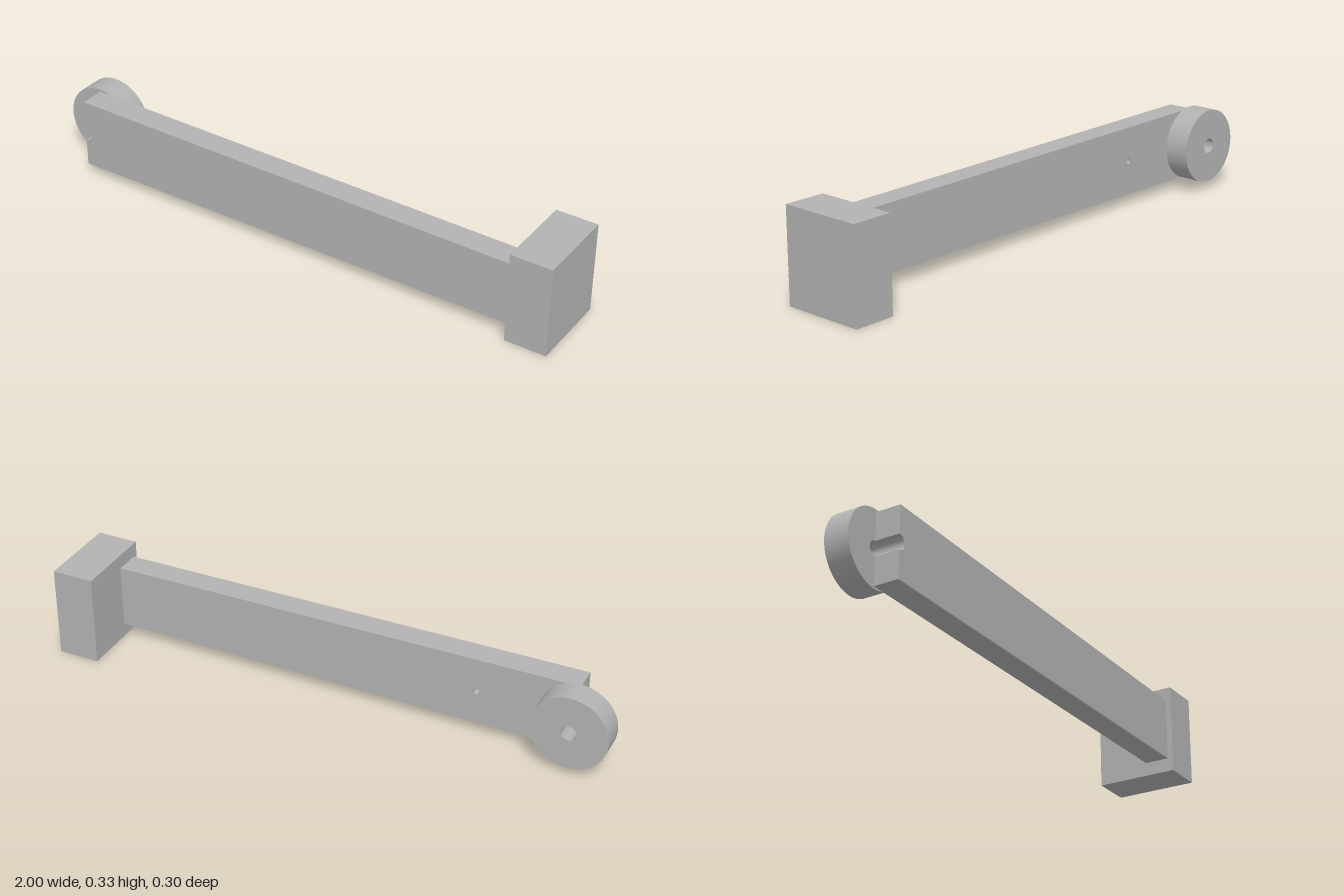
import * as THREE from 'three';
import { toCreasedNormals } from 'three/addons/utils/BufferGeometryUtils.js';

const grey = new THREE.MeshStandardMaterial({ color: 0xb2b2b2 });
grey.name = 'grey';

const AXLE_X = -0.865, MID_Y = 0.165, BORE = 0.027;
const ARM_END = 0.85, ARM_BACK = 0.04, ARM_FRONT = 0.13;

// Extrudes a shape between two depths, smooth on curves and sharp at edges
function slab(name, shape, z0, z1) {
  const geometry = new THREE.ExtrudeGeometry(shape, {
    depth: z1 - z0, bevelEnabled: false, curveSegments: 32,
  });
  geometry.translate(0, 0, z0);
  const mesh = new THREE.Mesh(toCreasedNormals(geometry, 0.6), grey);
  mesh.name = name;
  return mesh;
}

function addHole(shape, x, y, radius) {
  shape.holes.push(new THREE.Path().absarc(x, y, radius, 0, Math.PI * 2, true));
  return shape;
}

// Tapered arm outline with a half-round notch at the axle end
function armShape() {
  const wide = 0.127, narrow = 0.115;
  const s = new THREE.Shape();
  s.moveTo(AXLE_X, MID_Y - wide);
  s.lineTo(ARM_END, MID_Y - narrow);
  s.lineTo(ARM_END, MID_Y + narrow);
  s.lineTo(AXLE_X, MID_Y + wide);
  s.lineTo(AXLE_X, MID_Y + BORE);
  s.absarc(AXLE_X, MID_Y, BORE, Math.PI / 2, -Math.PI / 2, true);
  s.closePath();
  return s;
}

export function createModel() {
  const model = new THREE.Group();
  model.name = 'leverArm';

  // End block
  const block = new THREE.Mesh(new THREE.BoxGeometry(0.15, 0.33, 0.3), grey);
  block.name = 'endBlock';
  block.position.set(0.925, MID_Y, 0);
  model.add(block);

  // Arm: the back layer carries a small blind hole, the front layer is solid
  const arm = new THREE.Group();
  arm.name = 'arm';
  const split = (ARM_BACK + ARM_FRONT) / 2;
  arm.add(
    slab('armBack', addHole(armShape(), -0.51, MID_Y, 0.011), ARM_BACK, split),
    slab('armFront', armShape(), split, ARM_FRONT),
  );
  model.add(arm);

  // Round boss behind the arm, bored through
  const disc = new THREE.Shape().absarc(AXLE_X, MID_Y, 0.135, 0, Math.PI * 2, false);
  model.add(slab('pivotDisc', addHole(disc, AXLE_X, MID_Y, BORE), -0.05, ARM_BACK));

  return model;
}
